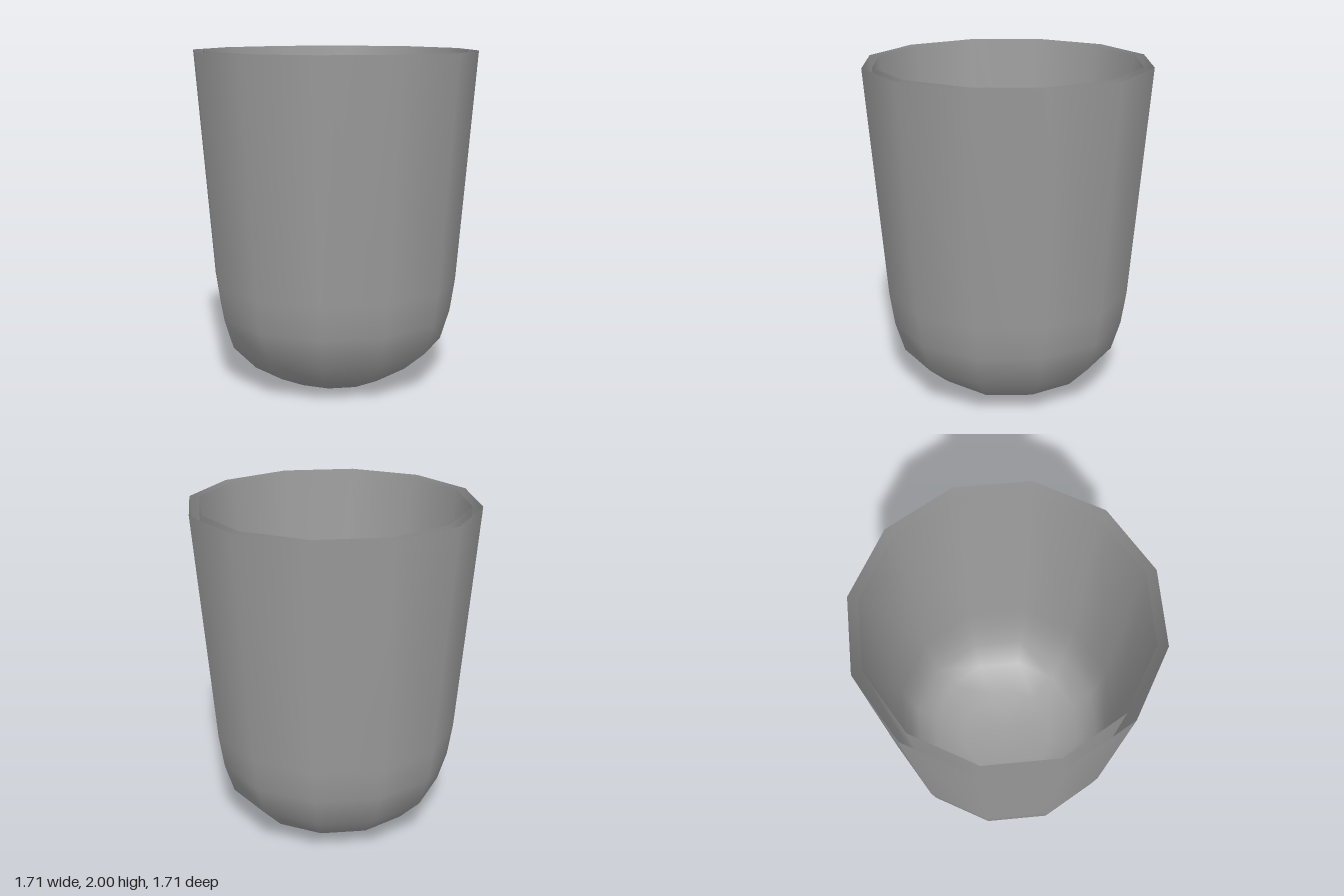
import * as THREE from 'three';

const SIDES = 12;

export function createModel() {
  const group = new THREE.Group();
  group.name = 'cup';
  const material = new THREE.MeshStandardMaterial({ color: 0x9c9c9c, side: THREE.DoubleSide });

  function addShell(name, profile) {
    const points = profile.map(([r, y]) => new THREE.Vector2(r, y));
    const mesh = new THREE.Mesh(new THREE.LatheGeometry(points, SIDES), material);
    mesh.name = name;
    group.add(mesh);
    return mesh;
  }

  // Outer wall, from the flat base up to the open rim
  const outer = addShell('outerWall', [
    [0, 0], [0.32, 0], [0.52, 0.095], [0.66, 0.24], [0.715, 0.42], [0.745, 0.62], [0.855, 2],
  ]);

  // Small dent in the rounded base, on the +x side
  const pos = outer.geometry.attributes.position;
  for (let i = 0; i < pos.count; i++) {
    if (Math.abs(pos.getX(i) - 0.52) < 0.001 && Math.abs(pos.getZ(i)) < 0.001) pos.setY(i, 0.12);
  }

  // Inner wall, from the rim down, facing inward; the gap at the rim stays open
  addShell('innerWall', [
    [0.795, 2], [0.69, 0.63], [0.66, 0.44], [0.61, 0.28], [0.49, 0.15], [0.3, 0.06], [0, 0.06],
  ]);

  return group;
}
